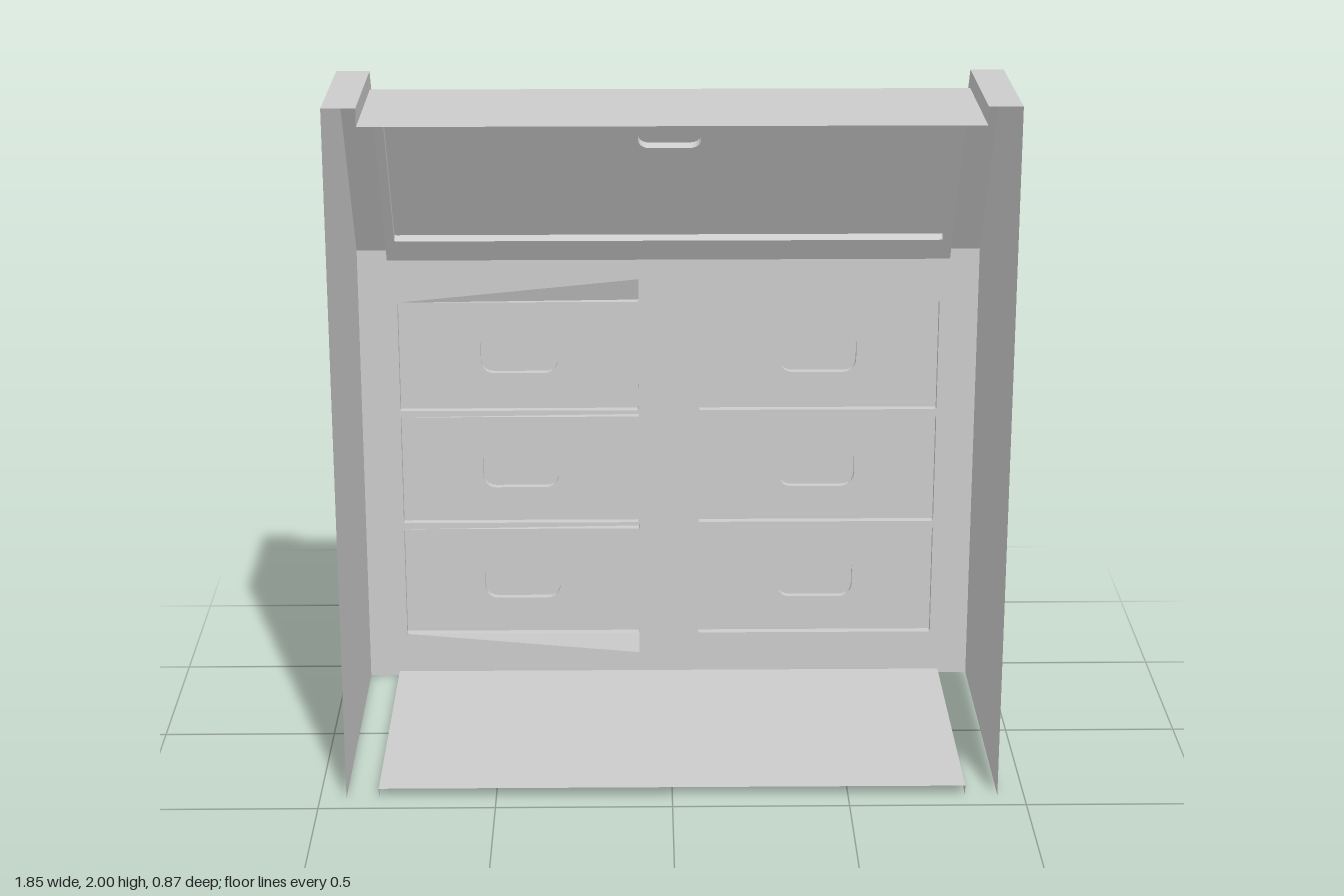
import * as THREE from 'three';

const material = new THREE.MeshStandardMaterial({ color: 0xcccccc, side: THREE.DoubleSide });

function addMesh(parent, name, geometry) {
  const mesh = new THREE.Mesh(geometry, material);
  mesh.name = name;
  parent.add(mesh);
  return mesh;
}

// Flat-shaded quads, each given by four corners
function quads(list) {
  const pos = [];
  for (const [a, b, c, d] of list) pos.push(...a, ...b, ...c, ...a, ...c, ...d);
  const g = new THREE.BufferGeometry();
  g.setAttribute('position', new THREE.Float32BufferAttribute(pos, 3));
  g.computeVertexNormals();
  return g;
}

// Counter-clockwise outline of a rounded rectangle
function roundedRect(cx, cy, w, h, r) {
  const pts = [];
  [[1, 1], [-1, 1], [-1, -1], [1, -1]].forEach(([sx, sy], i) => {
    for (let k = 0; k <= 5; k++) {
      const a = (i + k / 5) * Math.PI / 2;
      pts.push(new THREE.Vector2(cx + sx * (w / 2 - r) + r * Math.cos(a), cy + sy * (h / 2 - r) + r * Math.sin(a)));
    }
  });
  return pts;
}

// Flat sheet with holes
function plate(outline, holes, z) {
  const shape = new THREE.Shape(outline);
  shape.holes = holes.map(h => new THREE.Path(h));
  return new THREE.ShapeGeometry(shape).translate(0, 0, z);
}

// Raised shell, open at the back: a rim plus a face
function raised(parent, name, outline, holes, z0, z1) {
  const group = new THREE.Group();
  group.name = name;
  parent.add(group);
  addMesh(group, name + 'Rim', quads(outline.map((p, i) => {
    const q = outline[(i + 1) % outline.length];
    return [[p.x, p.y, z0], [q.x, q.y, z0], [q.x, q.y, z1], [p.x, p.y, z1]];
  })));
  addMesh(group, name + 'Face', plate(outline, holes, z1));
  return group;
}

const vec = list => list.map(([x, y]) => new THREE.Vector2(x, y));

export function createModel() {
  const model = new THREE.Group();
  model.name = 'writingDesk';

  const W = 0.925, I = 0.833, back = 0.437, D = 0.025;
  // Profiles as [z, y], from bottom back round the front to top back
  const outer = [[back, 0], [-0.43, 0], [-0.43, 1.37], [-0.02, 2], [back, 2]];
  const inner = [[back, 0.03], [-0.39, 0.03], [-0.39, 1.35], [-0.01, 1.95], [back, 1.95]];

  // Side panels: outer sheet, edge strips and the step down to the body
  for (const s of [1, -1]) {
    const side = new THREE.Group();
    side.name = s > 0 ? 'leftSide' : 'rightSide';
    model.add(side);
    const sheet = plate(vec(outer.map(([z, y]) => [-z, y])), [], 0);
    sheet.rotateY(Math.PI / 2).translate(s * W, 0, 0);
    addMesh(side, 'sidePanel', sheet);
    const edges = [], steps = [];
    for (let i = 0; i < 4; i++) {
      const [z0, y0] = outer[i], [z1, y1] = outer[i + 1];
      const [v0, u0] = inner[i], [v1, u1] = inner[i + 1];
      if (i > 0) edges.push([[s * I, y0, z0], [s * W, y0, z0], [s * W, y1, z1], [s * I, y1, z1]]);
      steps.push([[s * I, y0, z0], [s * I, y1, z1], [s * I, u1, v1], [s * I, u0, v0]]);
    }
    if (s > 0) for (const q of edges) q.reverse();
    if (s < 0) for (const q of steps) q.reverse();
    addMesh(side, 'sideEdge', quads(edges));
    addMesh(side, 'sideStep', quads(steps));
  }

  // Bottom and top boards
  addMesh(model, 'bottomBoard', quads([[[-I, 0.03, -0.39], [I, 0.03, -0.39], [I, 0.03, back], [-I, 0.03, back]]]));
  addMesh(model, 'topBoard', quads([[[-I, 1.95, back], [I, 1.95, back], [I, 1.95, -0.01], [-I, 1.95, -0.01]]]));

  // Drawer front, built facing local +z and turned round
  const front = new THREE.Group();
  front.name = 'drawerFront';
  front.position.z = -0.39;
  front.rotation.y = Math.PI;
  model.add(front);
  const rows = [[0.155, 0.5], [0.52, 0.86], [0.88, 1.22]];
  const handleY = [0.328, 0.69, 1.055];
  const holes = [];
  rows.forEach(([y0, y1], i) => {
    for (const s of [1, -1]) {
      const outline = roundedRect(s * 0.448, (y0 + y1) / 2, 0.716, y1 - y0, 0.006);
      const handle = roundedRect(s * 0.448, handleY[i], 0.23, 0.128, 0.038);
      raised(front, 'drawer', outline, [handle], 0, D);
      raised(front, 'drawerHandle', handle, [], D, 0.047);
      if (s < 0) holes.push(outline);
    }
  });
  const a = 0.09, b = 0.806;
  holes.push(vec([[a, 0.09], [b, 0.155], [b, 1.22], [a, 1.29]]));
  addMesh(front, 'frontFrame', plate(vec([[-I, 0.03], [I, 0.03], [I, 1.35], [-I, 1.35]]), holes, 0));

  // Rails of one column slope out to meet the drawer faces
  const rails = [[0.5, 0.52], [0.86, 0.88]].map(([y0, y1]) =>
    [[a, y0, D], [b, y0, 0], [b, y1, 0], [a, y1, D]]);
  rails.push([[a, 0.09, 0], [b, 0.155, 0], [b, 0.155, 0], [a, 0.155, D]]);
  rails.push([[a, 1.22, D], [b, 1.22, 0], [b, 1.22, 0], [a, 1.29, 0]]);
  rails.push([[a, 0.09, 0], [a, 0.155, D], [a, 1.22, D], [a, 1.29, 0]]);
  addMesh(front, 'slopedRails', quads(rails));

  // Sloping front with its raised lid and handle
  const slope = new THREE.Group();
  slope.name = 'slopingFront';
  const up = new THREE.Vector3(0, 0.6, 0.38), length = up.length();
  up.normalize();
  const across = new THREE.Vector3(-1, 0, 0);
  const out = across.clone().cross(up);
  slope.quaternion.setFromRotationMatrix(new THREE.Matrix4().makeBasis(across, up, out));
  slope.position.set(0, 1.35, -0.39);
  model.add(slope);
  const lid = roundedRect(0, 0.355, 1.612, 0.543, 0.006);
  const lidHandle = roundedRect(0, 0.493, 0.18, 0.09, 0.032);
  addMesh(slope, 'slopeFrame', plate(vec([[-I, 0], [I, 0], [I, length], [-I, length]]), [lid], 0));
  raised(slope, 'lid', lid, [lidHandle], 0, D);
  raised(slope, 'lidHandle', lidHandle, [], D, 0.047);

  return model;
}
